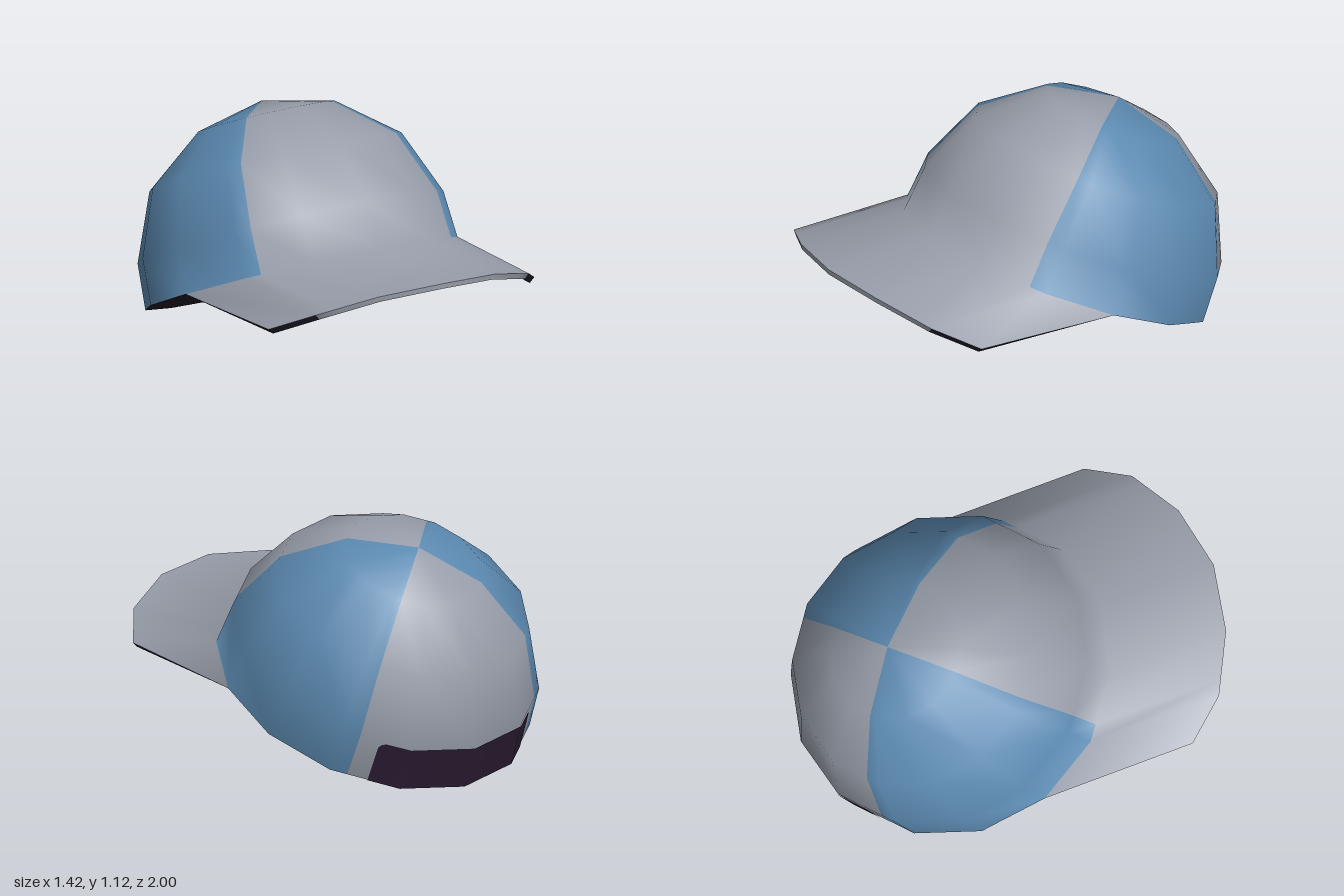
import * as THREE from 'three';
import { mergeVertices } from 'three/addons/utils/BufferGeometryUtils.js';

const SIDES = 14;

// Tilted crown rings, rim to top button: centre height, centre z, x / y / z radii
const RINGS = [
  [0.32, -0.235, 0.728, 0.32, 0.685],
  [0.515, -0.33, 0.714, 0.315, 0.67],
  [0.79, -0.46, 0.595, 0.25, 0.54],
  [0.98, -0.545, 0.327, 0.14, 0.295],
  [1.05, -0.58, 0, 0, 0],
];
// Brim outline from the centre to the side: x, y, z
const OUTLINE = [[0, 0.63, 1], [0.31, 0.605, 0.945], [0.567, 0.525, 0.815], [0.708, 0.43, 0.635]];

// Columns count sides from the back round by +x; the fractional ones are panel seams
const COLUMNS = [0, 1, 1.75, 2, 3, 4, 5, 5.25, 6, 7, 8, 8.75, 9, 10, 11, 12, 12.25, 13, 14];
const BRIM_COLUMNS = COLUMNS.filter((u) => u >= 4 && u <= 10);

// Point at column u on a polygon whose corners come from corner(k)
function onPolygon(corner, u) {
  const k = Math.floor(u);
  return corner(k).lerp(corner(k + 1), u - k);
}

function ringPoint([cy, cz, rx, ry, rz], u, scale = 1) {
  return onPolygon((k) => {
    const a = ((k % SIDES) / SIDES) * Math.PI * 2;
    return new THREE.Vector3(
      rx * scale * Math.sin(a), cy - ry * scale * Math.cos(a), cz - rz * scale * Math.cos(a));
  }, u);
}

function outlinePoint(u, drop = 0, narrow = 1) {
  return onPolygon((k) => {
    const [x, y, z] = OUTLINE[Math.min(3, Math.abs(k - 7))];
    return new THREE.Vector3((k < 7 ? x : -x) * narrow, y - drop, z);
  }, u);
}

// Quads between successive rows of points; rows run bottom to top seen from the front face
function quads(rows) {
  const out = [];
  for (let i = 0; i < rows.length - 1; i++) {
    for (let j = 0; j < rows[i].length - 1; j++) {
      out.push([rows[i][j], rows[i + 1][j], rows[i + 1][j + 1], rows[i][j + 1]]);
    }
  }
  return out;
}

// Smooth welded surface from a list of quads
function surface(list) {
  const pts = list.flatMap(([a, d, c, b]) => [a, d, c, a, c, b]);
  const geo = mergeVertices(new THREE.BufferGeometry().setFromPoints(pts), 1e-4);
  geo.computeVertexNormals();
  return geo;
}

// Splits a welded surface into one geometry per part, keeping the shared normals
function splitParts(geo, partOf) {
  const index = Array.from(geo.index.array);
  return (name) => {
    const part = geo.clone();
    part.setIndex(index.filter((_, i) => partOf(Math.floor(i / 6)) === name));
    return part;
  };
}

function createModel() {
  const group = new THREE.Group();
  const material = (name, color) => {
    const m = new THREE.MeshStandardMaterial({ color });
    m.name = name;
    return m;
  };
  const grey = material('greyCloth', 0x979da9);
  const blue = material('blueCloth', 0x5b89b0);
  const plum = material('darkPlum', 0x2f2037);
  const shade = material('openingShade', 0x231826);
  const navy = material('navyUnderside', 0x1e1e2e);
  const paleNavy = material('paleNavy', 0x33314a);

  const add = (name, geo, mat) => {
    const mesh = new THREE.Mesh(geo, mat);
    mesh.name = name;
    group.add(mesh);
  };

  // Crown and brim top share one smooth skin, then split into coloured panels
  const crownQuads = quads(RINGS.map((r) => COLUMNS.map((u) => ringPoint(r, u))));
  const rimFront = BRIM_COLUMNS.map((u) => ringPoint(RINGS[0], u));
  const topEdge = BRIM_COLUMNS.map((u) => outlinePoint(u));
  const skin = splitParts(surface([...crownQuads, ...quads([topEdge, rimFront])]), (cell) => {
    if (cell >= crownQuads.length) return 'brimTop';
    const u = COLUMNS[cell % (COLUMNS.length - 1)];
    const side = (u >= 1.75 && u < 5.25) || (u >= 8.75 && u < 12.25);
    return side ? 'sidePanels' : 'frontAndBackPanels';
  });
  add('frontAndBackPanels', skin('frontAndBackPanels'), grey);
  add('sidePanels', skin('sidePanels'), blue);
  add('brimTop', skin('brimTop'), grey);

  // Flat dark base closing the head opening
  const rim = COLUMNS.map((u) => ringPoint(RINGS[0], u));
  const centre = COLUMNS.map(() => new THREE.Vector3(0, RINGS[0][0], RINGS[0][1]));
  add('headOpening', surface(quads([centre, rim])), shade);

  // Brim underside, tapering to nothing at the rim, with a paler strip along the front
  const lowEdge = BRIM_COLUMNS.map((u) => outlinePoint(u, 0.024, 0.965));
  const middle = rimFront.map((p, i) => p.clone().lerp(lowEdge[i], 0.62));
  const spans = BRIM_COLUMNS.length - 1;
  const under = splitParts(surface(quads([rimFront, middle, lowEdge])), (cell) => {
    const u = BRIM_COLUMNS[cell % spans];
    return cell >= spans && u >= 5 && u < 9 ? 'brimUndersideStrip' : 'brimUnderside';
  });
  add('brimUnderside', under('brimUnderside'), navy);
  add('brimUndersideStrip', under('brimUndersideStrip'), paleNavy);

  // Brim edge: grey round the front, dark and undercut along the sides
  const edge = splitParts(surface(quads([lowEdge, topEdge])), (cell) => {
    const u = BRIM_COLUMNS[cell];
    return u >= 5 && u < 9 ? 'brimFrontEdge' : 'brimCornerEdges';
  });
  add('brimFrontEdge', edge('brimFrontEdge'), grey);
  add('brimCornerEdges', edge('brimCornerEdges'), navy);
  add('brimLeftEdge', surface([[rimFront[0], rimFront[0], topEdge[0], lowEdge[0]]]), navy);
  add('brimRightEdge',
    surface([[lowEdge[spans], topEdge[spans], rimFront[spans], rimFront[spans]]]), navy);

  // Dark band with rounded upper corners at the back of the rim
  const half = [[0, 1], [0.5, 1], [1, 1], [1.36, 0.99], [1.42, 0.95], [1.46, 0.86]];
  const band = [...half.slice(1).reverse().map(([u, t]) => [SIDES - u, t]), ...half];
  // The columns run past the back seam, so each corner wraps round
  const low = band.map(([u]) => ringPoint(RINGS[0], u, 1.006));
  const high = band.map(([u, t], i) => low[i].clone().lerp(ringPoint(RINGS[1], u, 1.006), t));
  add('backBand', surface(quads([low, high])), plum);

  return group;
}

export { createModel };
